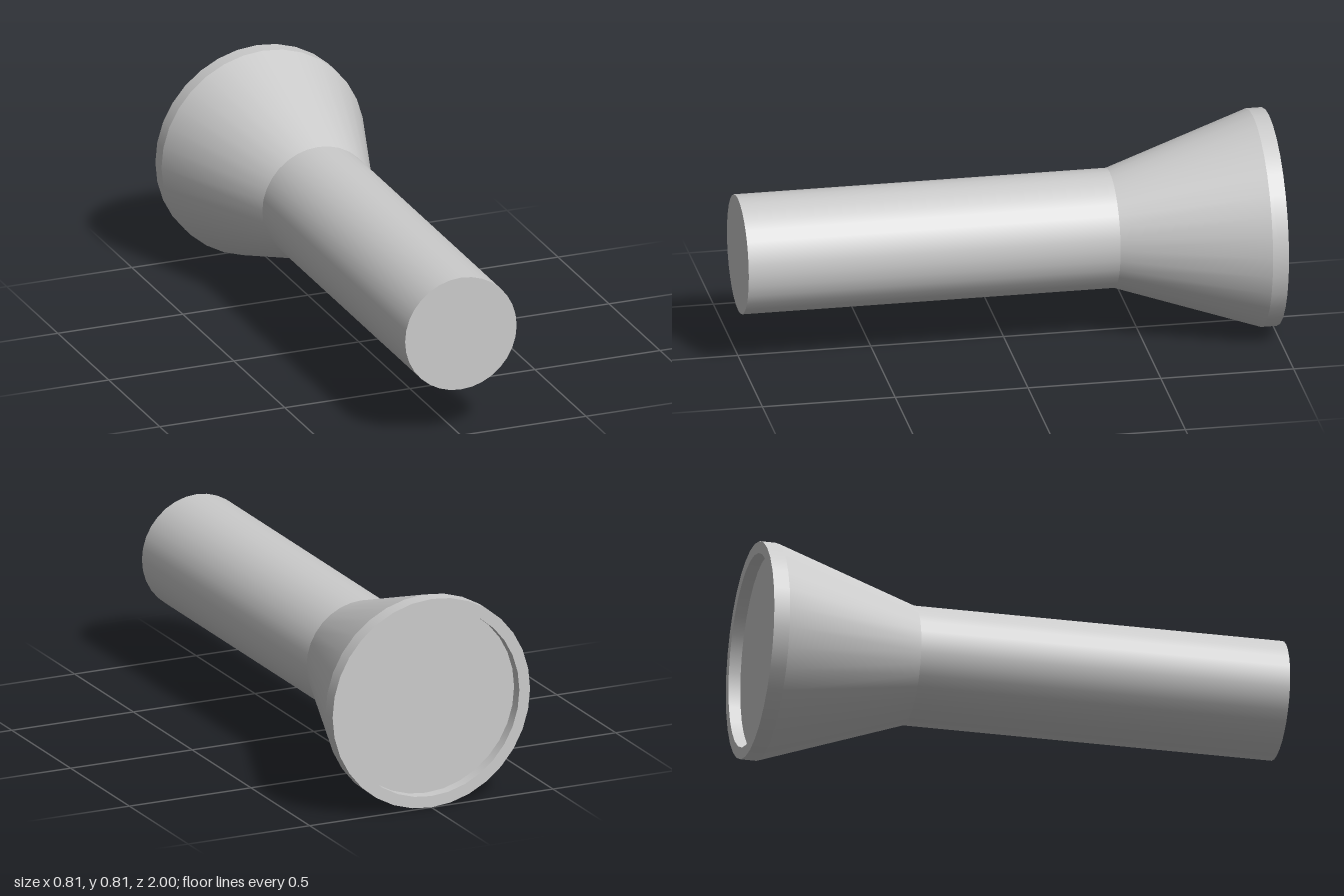
import * as THREE from 'three';
import { mergeGeometries } from 'three/addons/utils/BufferGeometryUtils.js';

const SIDES = 32;
const HEAD_R = 0.406, GRIP_R = 0.223, LENS_R = 0.362;
const NECK = 0.4, RIM = 0.94, END = 1, LENS = 0.955; // distances along the axis

// Turns a profile of [radius, axial] points; each band is separate so corners stay sharp
function turned(name, profile, material) {
  const bands = [];
  for (let i = 0; i < profile.length - 1; i++) {
    const pair = [profile[i], profile[i + 1]].map(([r, a]) => new THREE.Vector2(r, a));
    bands.push(new THREE.LatheGeometry(pair, SIDES));
  }
  const geometry = mergeGeometries(bands);
  geometry.rotateX(-Math.PI / 2); // axis along z, head towards -z
  geometry.translate(0, HEAD_R, 0);
  const mesh = new THREE.Mesh(geometry, material);
  mesh.name = name;
  return mesh;
}

export function createModel() {
  const group = new THREE.Group();
  group.name = 'flashlight';
  const grey = new THREE.MeshStandardMaterial({ color: 0xcccccc });

  group.add(
    // Straight handle with its flat end cap
    turned('handle', [[0, -END], [GRIP_R, -END], [GRIP_R, NECK]], grey),
    // Flared head
    turned('head', [[GRIP_R, NECK], [HEAD_R, RIM]], grey),
    // Rim: outer wall, flat lip and inner wall
    turned('rim', [[HEAD_R, RIM], [HEAD_R, END], [LENS_R, END], [LENS_R, LENS]], grey),
    // Recessed lens
    turned('lens', [[LENS_R, LENS], [0, LENS]], grey)
  );
  return group;
}
